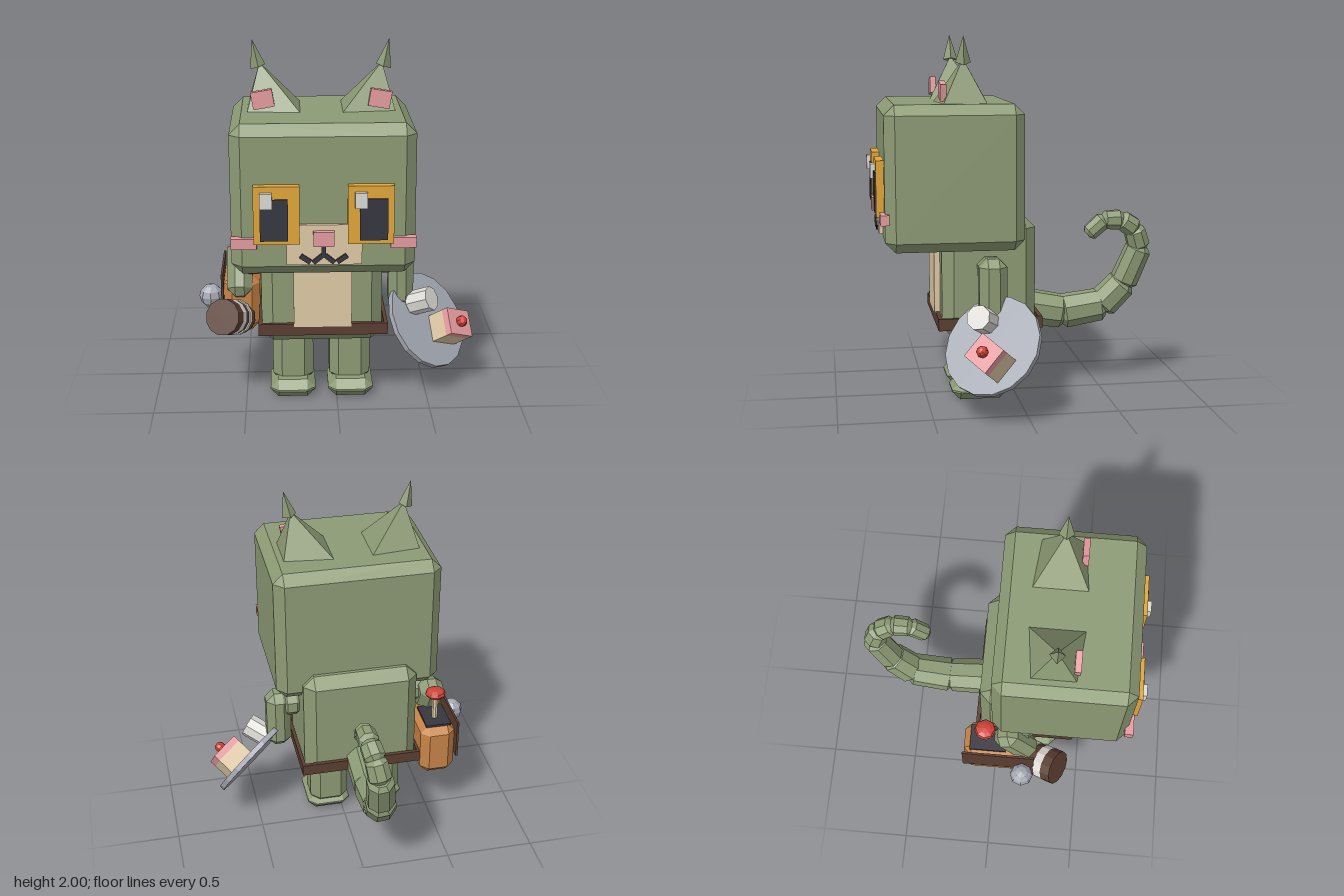
import * as THREE from 'three';
import { ConvexGeometry } from 'three/addons/geometries/ConvexGeometry.js';

const V = (x, y, z) => new THREE.Vector3(x, y, z);
const CX = -0.0825; // symmetry line of the body

export function createModel() {
  const root = new THREE.Group();
  const mat = (name, color) => {
    const m = new THREE.MeshStandardMaterial({ color, flatShading: true });
    m.name = name;
    return m;
  };
  const green = mat('green fur', 0x8d9b75), gold = mat('gold', 0xe2a638), tan = mat('tan', 0xe0caa6);
  const pink = mat('pink', 0xe59b9f), black = mat('charcoal', 0x363640), brown = mat('dark brown', 0x5b3e31);
  const orange = mat('orange leather', 0xc88448), light = mat('light grey', 0xdddbd5);
  const steel = mat('blue grey', 0xa5a9b3), red = mat('red', 0xcf4238);

  const add = (name, geo, m, parent = root) => {
    const mesh = new THREE.Mesh(geo, m);
    mesh.name = name;
    parent.add(mesh);
    return mesh;
  };
  // Box given by its limits
  const box = (name, m, x0, x1, y0, y1, z0, z1, parent) => {
    const b = add(name, new THREE.BoxGeometry(Math.abs(x1 - x0), y1 - y0, z1 - z0), m, parent);
    b.position.set((x0 + x1) / 2, (y0 + y1) / 2, (z0 + z1) / 2);
    return b;
  };
  // Box with all edges cut off by c
  const bevelBox = (name, m, x0, x1, y0, y1, z0, z1, c) => {
    const hx = Math.abs(x1 - x0) / 2, hy = (y1 - y0) / 2, hz = (z1 - z0) / 2, pts = [];
    for (const a of [-1, 1]) for (const b of [-1, 1]) for (const d of [-1, 1]) {
      pts.push(V(a * hx, b * (hy - c), d * (hz - c)));
      pts.push(V(a * (hx - c), b * hy, d * (hz - c)));
      pts.push(V(a * (hx - c), b * (hy - c), d * hz));
    }
    const mesh = add(name, new ConvexGeometry(pts), m);
    mesh.position.set((x0 + x1) / 2, (y0 + y1) / 2, (z0 + z1) / 2);
    return mesh;
  };

  // Head and body
  bevelBox('head', green, -0.548, 0.383, 0.865, 1.645, -0.013, 0.73, 0.055);
  bevelBox('body', green, -0.408, 0.243, 0.36, 1.025, -0.093, 0.42, 0.06);
  box('belly', tan, -0.235, 0.075, 0.47, 0.88, 0.41, 0.452);

  // Belt: a thin rectangular ring
  box('beltFront', brown, -0.425, 0.27, 0.42, 0.485, 0.425, 0.447);
  box('beltBack', brown, -0.425, 0.27, 0.42, 0.485, -0.12, -0.098);
  box('beltRight', brown, -0.425, -0.405, 0.42, 0.485, -0.12, 0.447);
  box('beltLeft', brown, 0.25, 0.27, 0.42, 0.485, -0.12, 0.447);

  // Muzzle, nose, mouth
  box('muzzle', tan, -0.27, 0.11, 0.935, 1.145, 0.72, 0.752);
  box('nose', pink, -0.135, -0.03, 1.04, 1.115, 0.73, 0.782);
  box('mouthBar', black, CX - 0.011, CX + 0.011, 0.98, 1.045, 0.74, 0.762);

  // Mirrored pairs
  for (const s of [-1, 1]) {
    const X = d => CX + s * d;
    box('eye', gold, X(0.12), X(0.35), 1.05, 1.35, 0.72, 0.772);
    box('cheek', pink, X(0.335), X(0.465), 1.02, 1.075, 0.708, 0.755);
    const m1 = box('mouthInner', black, X(0), X(0.06), 0.955, 0.979, 0.74, 0.762);
    m1.rotation.z = s * -0.7;
    const m2 = box('mouthOuter', black, X(0.062), X(0.122), 0.955, 0.981, 0.74, 0.762);
    m2.rotation.z = s * 0.6;

    // Ears with a small pointed tuft
    add('ear', new ConvexGeometry([V(X(0.105), 1.64, 0.15), V(X(0.105), 1.64, 0.445),
      V(X(0.38), 1.64, 0.18), V(X(0.38), 1.64, 0.415), V(X(0.315), 1.88, 0.303)]), green);
    add('earTuft', new ConvexGeometry([V(X(0.285), 1.87, 0.303), V(X(0.32), 1.86, 0.262),
      V(X(0.32), 1.86, 0.344), V(X(0.362), 1.845, 0.303), V(X(0.352), 2, 0.305)]), green);
    const inner = box('innerEar', pink, X(0.245), X(0.355), 1.665, 1.755, 0.395, 0.428);
    inner.rotation.z = s * -0.17;

    // Legs, feet and shoulders
    bevelBox('leg', green, X(0.045), X(0.27), 0.05, 0.42, 0.05, 0.275, 0.05);
    bevelBox('foot', green, X(0.035), X(0.285), 0, 0.1, 0.055, 0.365, 0.045);
    bevelBox('shoulder', green, X(0.3), X(0.435), 0.68, 0.82, 0.09, 0.235, 0.04);
  }

  // Arms: left hangs straight, right swings forward to the barrel
  bevelBox('leftArm', green, 0.29, 0.43, 0.48, 0.83, 0.09, 0.24, 0.045);
  const rightArm = bevelBox('rightArm', green, -0.6, -0.46, 0.53, 0.85, 0.05, 0.2, 0.045);
  rightArm.rotation.x = -0.5;

  // Pupils and glints
  for (const [p, g] of [[-0.4, -0.4], [0.097, 0.072]]) {
    box('pupil', black, p, p + 0.14, 1.07, 1.285, 0.771, 0.779);
    box('eyeGlint', light, g, g + 0.062, 1.24, 1.32, 0.77, 0.795);
  }

  // Tail: bevelled octagonal segments along a curl; rows are x, y, z, radius
  const path = [
    [-0.09, 0.465, -0.07, 0.104], [-0.085, 0.425, -0.3, 0.1], [-0.08, 0.46, -0.53, 0.092],
    [-0.055, 0.59, -0.65, 0.08], [-0.03, 0.8, -0.735, 0.066], [-0.01, 0.91, -0.7, 0.062],
    [0.005, 0.965, -0.62, 0.058], [0.005, 0.965, -0.52, 0.052], [0, 0.89, -0.435, 0]];
  for (let i = 0; i < path.length - 1; i++) {
    const a = V(...path[i]), b = V(...path[i + 1]), dir = b.clone().sub(a);
    const r = path[i][3], h = dir.length() / 2 + 0.012, c = Math.min(0.025, r * 0.4);
    const profile = [[0, -h], [r - c, -h], [r, c - h], [r * 0.95, h - c], [r * 0.95 - c, h], [0, h]];
    const seg = add('tailSegment', new THREE.LatheGeometry(
      profile.map(p => new THREE.Vector2(...p)), 8, Math.PI / 8), green);
    seg.position.copy(a).add(b).multiplyScalar(0.5);
    seg.quaternion.setFromUnitVectors(V(0, 1, 0), dir.normalize());
  }

  // Tilted plate with cake
  const tray = new THREE.Group();
  tray.name = 'servingPlate';
  const n = V(0.63, 0.56, 0.54).normalize(), u = V(0.765, -0.353, -0.53);
  u.addScaledVector(n, -u.dot(n)).normalize();
  tray.quaternion.setFromRotationMatrix(new THREE.Matrix4().makeBasis(u, n, u.clone().cross(n)));
  tray.position.set(0.508, 0.39, 0.185);
  root.add(tray);
  add('plate', new THREE.CylinderGeometry(0.277, 0.277, 0.03, 16), steel, tray);
  box('cakeBase', tan, 0.009, 0.179, 0.01, 0.12, -0.018, 0.132, tray);
  box('cakeIcing', pink, 0.009, 0.179, 0.12, 0.16, -0.018, 0.132, tray);
  add('cherry', new THREE.SphereGeometry(0.032, 8, 6), red, tray).position.set(0.094, 0.175, 0.057);

  // Cup beside the cake
  const cup = add('cup', new THREE.CylinderGeometry(0.068, 0.068, 0.13, 8), light);
  cup.quaternion.setFromUnitVectors(V(0, 1, 0), V(0.78, 0.4, 0.48).normalize());
  cup.position.set(0.475, 0.525, 0.235);

  // Hip bag with side flap and a stopper
  bevelBox('bag', orange, -0.62, -0.42, 0.34, 0.66, -0.17, 0.2, 0.045);
  box('bagOpening', black, -0.595, -0.45, 0.655, 0.668, -0.135, 0.07);
  box('bagFlap', brown, -0.632, -0.62, 0.46, 0.69, -0.175, 0.235);
  add('stopperStem', new THREE.CylinderGeometry(0.018, 0.018, 0.16, 8), tan).position.set(-0.52, 0.74, -0.05);
  const knob = add('stopperKnob', new THREE.SphereGeometry(0.06, 8, 6), red);
  knob.scale.y = 0.5;
  knob.position.set(-0.52, 0.83, -0.05);

  // Banded barrel and round weight
  const barrel = new THREE.Group();
  barrel.name = 'barrel';
  barrel.quaternion.setFromUnitVectors(V(0, 1, 0), V(-0.38, 0.36, 0.85).normalize());
  barrel.position.set(-0.575, 0.46, 0.275);
  root.add(barrel);
  for (const [y, h, r, m] of [[-0.09, 0.06, 0.09, brown], [-0.045, 0.03, 0.1, light],
    [-0.01, 0.04, 0.094, brown], [0.035, 0.05, 0.1, light], [0.09, 0.06, 0.1, brown]]) {
    add('barrelBand', new THREE.CylinderGeometry(r, r, h, 12), m, barrel).position.y = y;
  }
  add('roundWeight', new THREE.SphereGeometry(0.066, 8, 6), steel).position.set(-0.69, 0.55, 0.17);

  return root;
}
